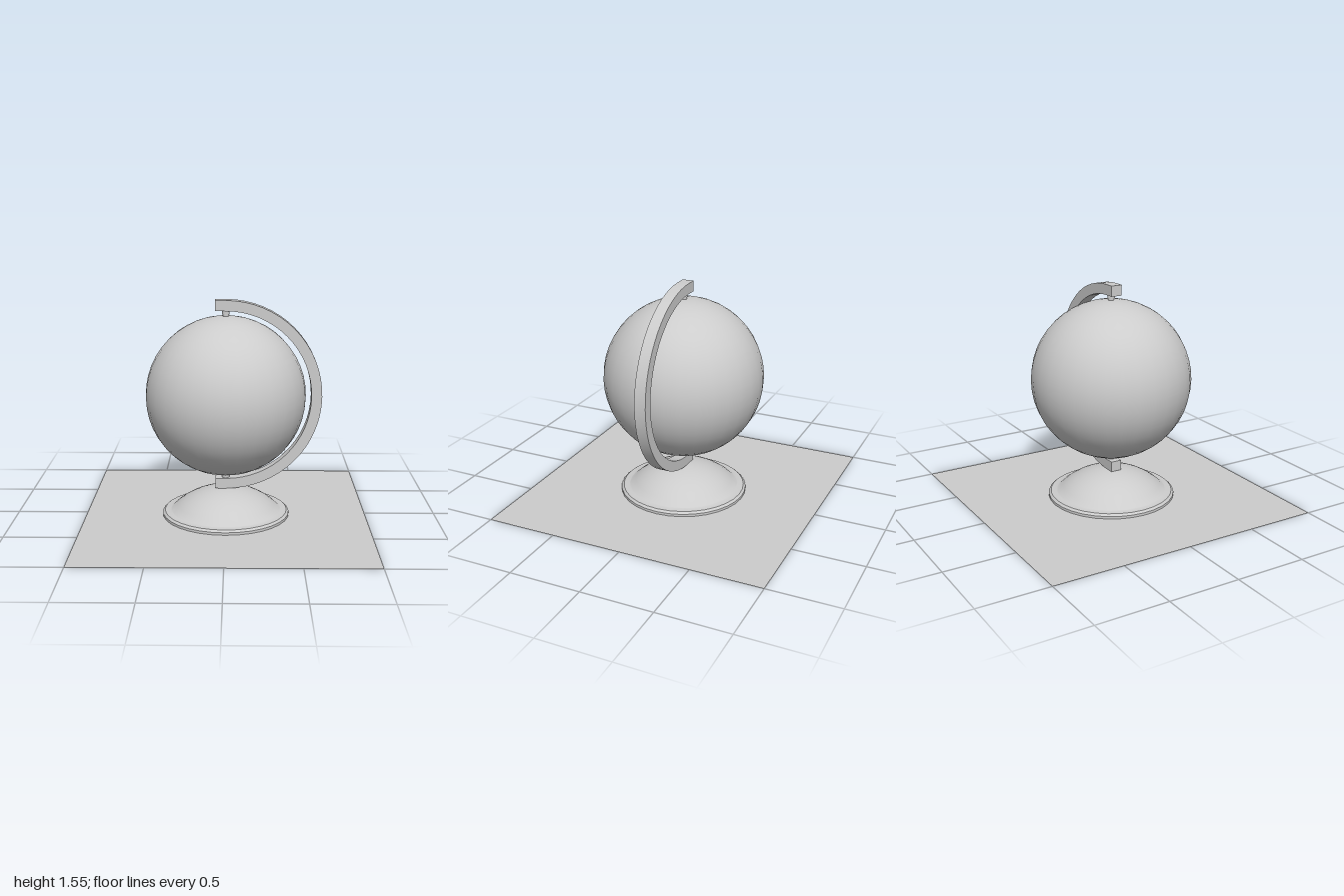
import * as THREE from 'three';
import { toCreasedNormals } from 'three/addons/utils/BufferGeometryUtils.js';

export function createModel() {
  const model = new THREE.Group();
  const grey = new THREE.MeshStandardMaterial({ color: 0xcccccc });
  grey.name = 'plain grey';
  grey.side = THREE.DoubleSide;

  const add = (name, geometry, x = 0, y = 0, z = 0) => {
    const mesh = new THREE.Mesh(geometry, grey);
    mesh.name = name;
    mesh.position.set(x, y, z);
    model.add(mesh);
    return mesh;
  };

  const centreY = 0.872;
  const outer = 0.674, inner = 0.6, tail = -0.074;

  // Thin square ground sheet
  add('groundSheet', new THREE.PlaneGeometry(2, 2).rotateX(-Math.PI / 2));

  // Domed foot with a bevelled rim
  const profile = [[0.453, 0.002], [0.453, 0.02], [0.437, 0.034], [0.395, 0.036]]
    .map(([r, y]) => new THREE.Vector2(r, y));
  const domeR = 0.555;
  const edge = Math.asin(0.39 / domeR);
  for (let i = 0; i <= 8; i++) {
    const a = edge * (1 - i / 8);
    profile.push(new THREE.Vector2(domeR * Math.sin(a), 0.198 - domeR * (1 - Math.cos(a))));
  }
  add('foot', toCreasedNormals(new THREE.LatheGeometry(profile, 32), 0.6));

  // Ball
  add('globe', new THREE.SphereGeometry(0.562, 32, 24), 0, centreY);

  // Half-ring arm with short straight tails past the axis
  const arm = new THREE.Shape();
  arm.moveTo(tail, -outer);
  arm.lineTo(0, -outer);
  arm.absarc(0, 0, outer, -Math.PI / 2, Math.PI / 2, false);
  arm.lineTo(tail, outer);
  arm.lineTo(tail, inner);
  arm.lineTo(0, inner);
  arm.absarc(0, 0, inner, Math.PI / 2, -Math.PI / 2, true);
  arm.lineTo(tail, -inner);
  arm.closePath();
  const armGeometry = new THREE.ExtrudeGeometry(arm, { depth: 0.08, bevelEnabled: false, curveSegments: 16 });
  armGeometry.translate(0, 0, -0.04);
  add('arm', toCreasedNormals(armGeometry, 0.6), 0, centreY);

  // Pivot pins with collars, above and below the ball
  for (const [side, s] of [['upper', 1], ['lower', -1]]) {
    add(side + 'Pin', new THREE.CylinderGeometry(0.021, 0.021, 0.06, 16), 0, centreY + s * 0.58);
    add(side + 'Collar', new THREE.CylinderGeometry(0.026, 0.026, 0.026, 16), 0, centreY + s * 0.588);
  }

  return model;
}
